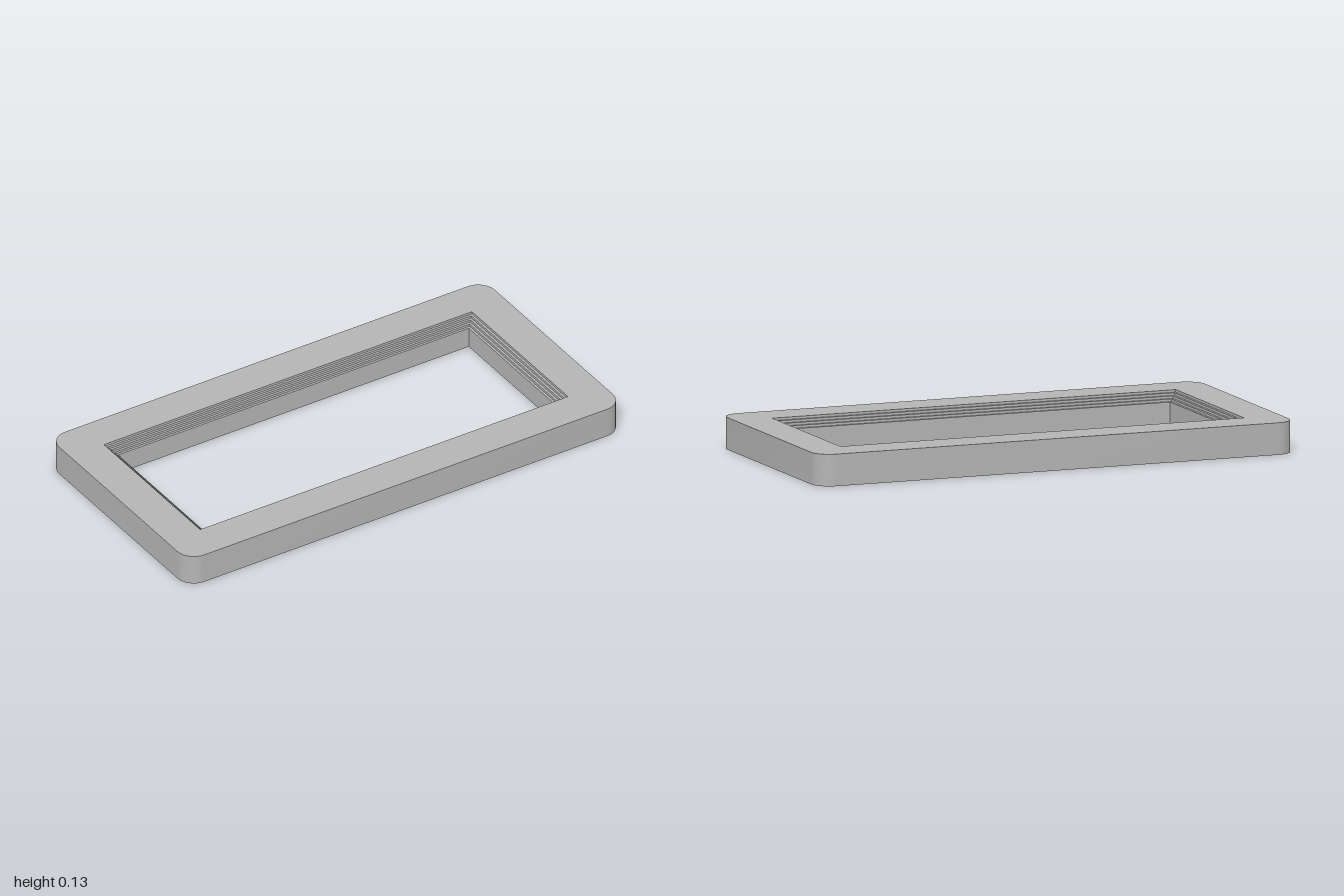
import * as THREE from 'three';
import { toCreasedNormals } from 'three/addons/utils/BufferGeometryUtils.js';

const HALF_X = 1, HALF_Z = 0.5, HEIGHT = 0.126, RADIUS = 0.075, SEGMENTS = 8;

// Rounded rectangle loop, inset from the outer edge, counter-clockwise from above
function loop(inset, y) {
  const r = Math.max(0, RADIUS - inset);
  const cx = HALF_X - inset - r, cz = HALF_Z - inset - r;
  const points = [];
  [[1, -1], [-1, -1], [-1, 1], [1, 1]].forEach(([sx, sz], corner) => {
    for (let i = 0; i <= SEGMENTS; i++) {
      const a = (corner + i / SEGMENTS) * Math.PI / 2;
      points.push(new THREE.Vector3(sx * cx + r * Math.cos(a), y, sz * cz - r * Math.sin(a)));
    }
  });
  return points;
}

// Sweep a closed [inset, height] section around the frame
function sweep(section) {
  const rings = section.map(([d, y]) => loop(d, y));
  const out = [];
  const tri = (a, b, c) => {
    const area = b.clone().sub(a).cross(c.clone().sub(a)).length();
    if (area > 1e-9) for (const p of [a, b, c]) out.push(p.x, p.y, p.z);
  };
  rings.forEach((low, i) => {
    const high = rings[(i + 1) % rings.length];
    low.forEach((p, j) => {
      const k = (j + 1) % low.length;
      tri(p, low[k], high[k]);
      tri(p, high[k], high[j]);
    });
  });
  const geometry = new THREE.BufferGeometry();
  geometry.setAttribute('position', new THREE.Float32BufferAttribute(out, 3));
  return toCreasedNormals(geometry, 0.6);
}

export function createModel() {
  const group = new THREE.Group();
  group.name = 'steppedFrame';
  const grey = new THREE.MeshStandardMaterial({ color: 0xb4b4b4 });
  grey.name = 'plain grey';

  // Outer wall and top, then small steps down to the opening
  const section = [[0, 0], [0, HEIGHT], [0.155, HEIGHT]];
  for (let i = 0; i < 4; i++) {
    const y = HEIGHT - 0.01 * (i + 1);
    section.push([0.155 + 0.01 * i, y], [0.165 + 0.01 * i, y]);
  }
  // Opening wall, inner rim, underside groove and outer rim
  section.push([0.195, 0], [0.12, 0], [0.12, 0.045], [0.03, 0.045], [0.03, 0]);

  const frame = new THREE.Mesh(sweep(section), grey);
  frame.name = 'frame';
  group.add(frame);

  // Slim ribs on the groove side of the inner rim
  const ribGeometry = new THREE.BoxGeometry(0.006, 0.043, 0.006);
  for (const side of [-1, 1]) {
    for (let i = -3; i <= 3; i++) {
      const rib = new THREE.Mesh(ribGeometry, grey);
      rib.name = 'grooveRib';
      rib.position.set(i * 0.22, 0.0235, side * (HALF_Z - 0.118));
      group.add(rib);
    }
  }
  return group;
}
